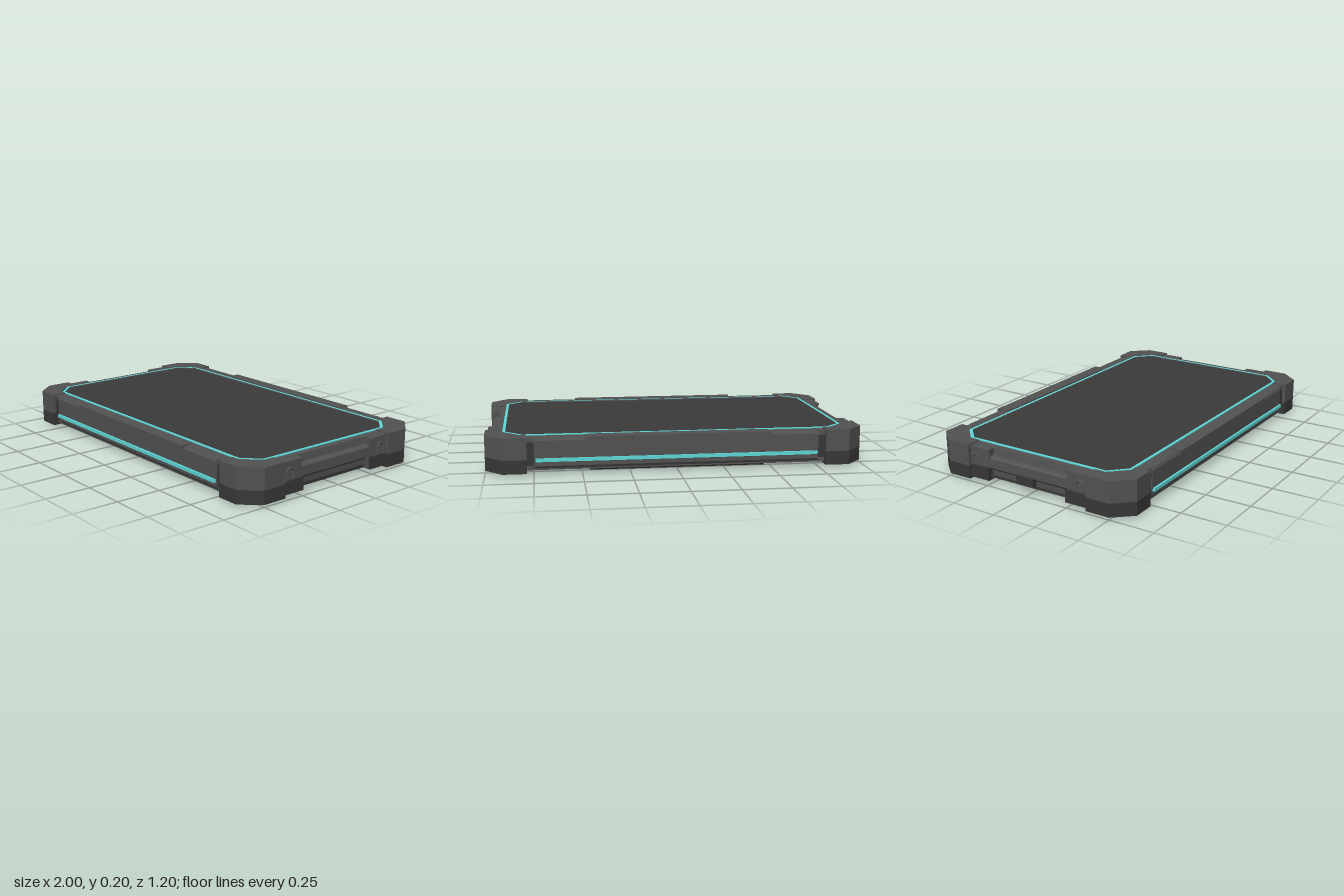
import * as THREE from 'three';

const mat = (color) => new THREE.MeshStandardMaterial({ color, flatShading: true, roughness: 0.8 });

export function createModel() {
  const model = new THREE.Group();
  const shell = mat(0x525252), lower = mat(0x383838), screenMat = mat(0x3a3a3a);
  const under = mat(0x222222), glow = mat(0x5fd8d8);

  const add = (name, geometry, material, parent = model) => {
    const mesh = new THREE.Mesh(geometry, material);
    mesh.name = name;
    parent.add(mesh);
    return mesh;
  };
  const toShape = (pts) => new THREE.Shape(pts.map(([a, b]) => new THREE.Vector2(a, b)));
  // Rectangle with cut corners, half sizes w and d, cut c
  const octagon = (w, d, c) => [
    [w - c, d], [w, d - c], [w, c - d], [w - c, -d], [c - w, -d], [-w, c - d], [-w, d - c], [c - w, d]];
  // Plan outline (x, z) raised from y0 to y1
  const slab = (pts, y0, y1, hole) => {
    const shape = toShape(pts);
    if (hole) shape.holes.push(toShape(hole));
    return new THREE.ExtrudeGeometry(shape, { depth: y1 - y0, bevelEnabled: false })
      .rotateX(Math.PI / 2).translate(0, y1, 0);
  };
  // Side profile (outward, y) run along a side of the given length
  const rail = (pts, length) =>
    new THREE.ExtrudeGeometry(toShape(pts), { depth: length, bevelEnabled: false })
      .translate(0, 0, -length / 2);
  const box = (w, h, d, x, y, z) => new THREE.BoxGeometry(w, h, d).translate(x, y, z);

  // Main case, screen and lit rim
  add('case', slab(octagon(0.935, 0.57, 0.1), 0.024, 0.186), shell);
  add('bezel', slab(octagon(0.94, 0.575, 0.1), 0.17, 0.194, octagon(0.9, 0.505, 0.08)), shell);
  add('screen', slab(octagon(0.9, 0.505, 0.08), 0.18, 0.192), screenMat);
  add('screenRim', slab(octagon(0.91, 0.514, 0.088), 0.18, 0.199, octagon(0.895, 0.499, 0.082)), glow);

  // Corner bumpers in two tones
  const corner = [[0.785, 0.6], [0.91, 0.6], [1, 0.5], [1, 0.365], [0.912, 0.365],
    [0.912, 0.427], [0.825, 0.515], [0.785, 0.515]];
  for (const sx of [1, -1]) for (const sz of [1, -1]) {
    const pts = corner.map(([x, z]) => [x * sx, z * sz]);
    const bumper = new THREE.Group();
    bumper.name = 'cornerBumper';
    add('bumperTop', slab(pts, 0.085, 0.2), shell, bumper);
    add('bumperBase', slab(pts, 0.012, 0.085), lower, bumper);
    model.add(bumper);
  }

  // Long sides: rail, light strip and grip
  const longProfile = [[0.5, 0.024], [0.565, 0.024], [0.578, 0.045], [0.578, 0.065],
    [0.586, 0.09], [0.586, 0.18], [0.578, 0.194], [0.5, 0.194]];
  for (const s of [1, -1]) {
    const side = new THREE.Group();
    side.name = 'longSide';
    add('longRail', rail(longProfile, 1.49).rotateY(-Math.PI / 2), shell, side);
    add('lightStrip', box(1.48, 0.018, 0.03, 0, 0.08, 0.582), glow, side);
    add('grip', slab([[-0.49, 0.598], [0.49, 0.598], [0.48, 0.535], [0.42, 0.525],
      [-0.42, 0.525], [-0.48, 0.535]], 0.177, 0.2), shell, side);
    add('lowerLip', box(0.92, 0.014, 0.04, 0, 0.02, 0.53), under, side);
    for (const e of [1, -1]) add('railEnd', box(0.04, 0.12, 0.03, e * 0.768, 0.11, 0.565), lower, side);
    side.rotation.y = s > 0 ? 0 : Math.PI;
    model.add(side);
  }

  // Short sides: handle bar and two strap latches
  const shortProfile = [[0.9, 0.024], [0.945, 0.024], [0.955, 0.045], [0.957, 0.075], [0.968, 0.088],
    [0.982, 0.095], [0.982, 0.145], [0.972, 0.153], [0.95, 0.156], [0.945, 0.194], [0.9, 0.194]];
  for (const s of [1, -1]) {
    const side = new THREE.Group();
    side.name = 'shortSide';
    add('handleBar', rail(shortProfile, 0.5), shell, side);
    for (const e of [1, -1]) {
      const z = e * 0.303;
      add('latchBlock', box(0.075, 0.16, 0.125, 0.945, 0.11, z), shell, side);
      add('latchCap', box(0.07, 0.012, 0.125, 0.954, 0.187, z), shell, side);
      add('latchFoot', box(0.08, 0.068, 0.125, 0.955, 0.06, z), lower, side);
      // Upturned loop on the latch
      const zc = e * 0.323, path = new THREE.CurvePath();
      const v = (y, dz) => new THREE.Vector3(0.985, y, zc + dz);
      path.add(new THREE.LineCurve3(v(0.09, -0.024), v(0.13, -0.024)));
      path.add(new THREE.CubicBezierCurve3(v(0.13, -0.024), v(0.164, -0.024), v(0.164, 0.024), v(0.13, 0.024)));
      path.add(new THREE.LineCurve3(v(0.13, 0.024), v(0.09, 0.024)));
      add('latchLoop', new THREE.TubeGeometry(path, 24, 0.006, 6), shell, side);
    }
    side.rotation.y = s > 0 ? 0 : Math.PI;
    model.add(side);
  }
  add('powerButton', box(0.03, 0.045, 0.105, -0.985, 0.078, -0.005), lower);

  // Underside: framed panel with two light lines
  add('undersidePanel', slab(octagon(0.9, 0.52, 0.09), 0.02, 0.03), under);
  add('undersideFrame', slab(octagon(0.91, 0.53, 0.09), 0.015, 0.03, octagon(0.885, 0.505, 0.085)), under);
  for (const z of [0.21, -0.21]) add('undersideLight', box(1.7, 0.006, 0.012, 0, 0.02, z), glow);

  // Camera ring and lens below
  const ring = [[0.045, 0.022], [0.045, 0.002], [0.06, 0], [0.074, 0.014], [0.074, 0.022]]
    .map(([r, y]) => new THREE.Vector2(r, y));
  const ringMat = lower.clone();
  ringMat.side = THREE.DoubleSide;
  add('cameraRing', new THREE.LatheGeometry(ring, 32).translate(0.515, 0, 0), ringMat);
  add('cameraLens', new THREE.CylinderGeometry(0.03, 0.025, 0.012, 24).translate(0.515, 0.014, 0), under);

  return model;
}
